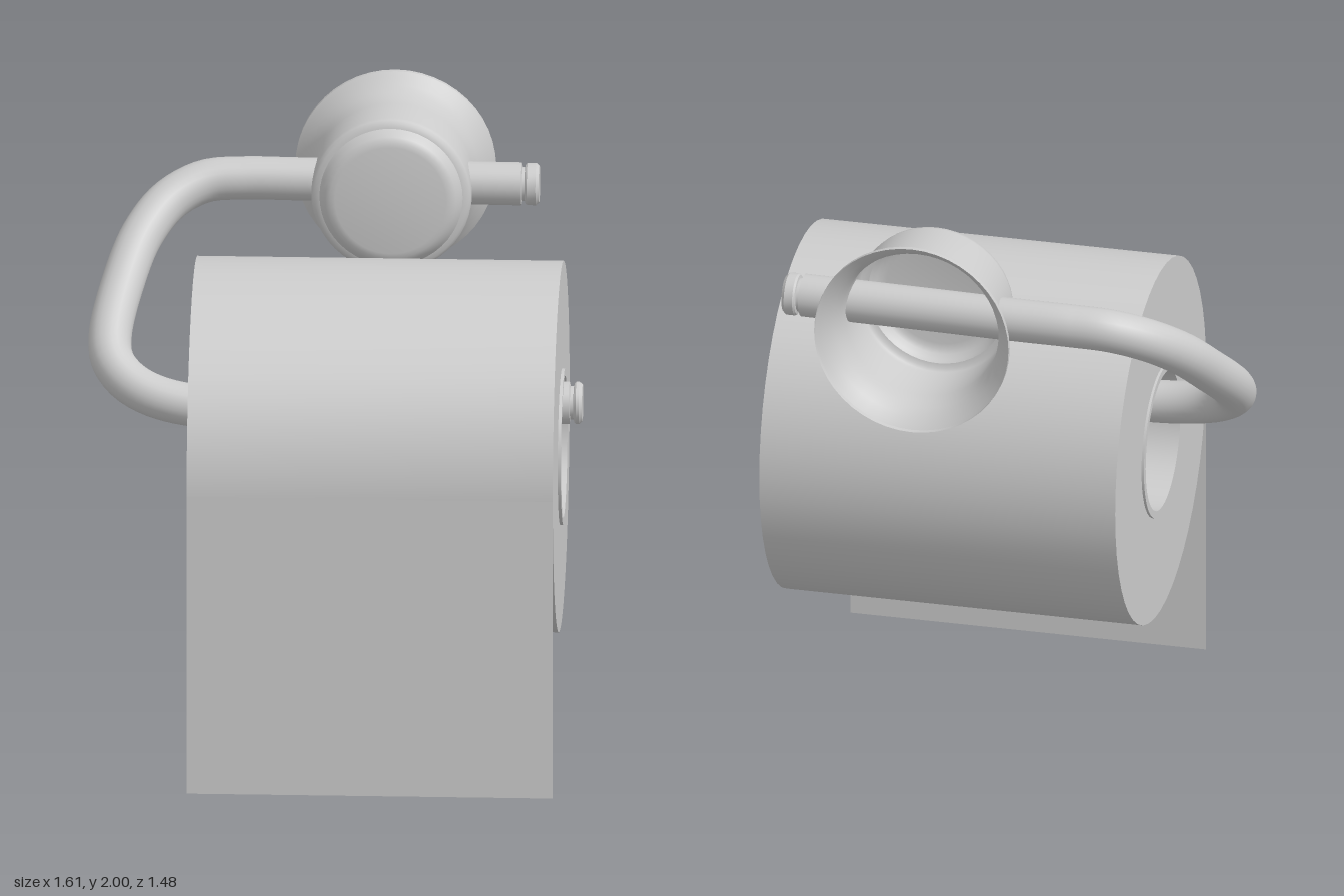
import * as THREE from 'three';
import { toCreasedNormals } from 'three/addons/utils/BufferGeometryUtils.js';

const material = new THREE.MeshStandardMaterial({ color: 0xcccccc });
const thin = new THREE.MeshStandardMaterial({ color: 0xcccccc, side: THREE.DoubleSide });

// Turned part from [radius, height] pairs, with crisp edges
function turned(name, profile, segments, mat = material, crease = 0.5) {
  const points = profile.map(([r, h]) => new THREE.Vector2(r, h));
  const mesh = new THREE.Mesh(toCreasedNormals(new THREE.LatheGeometry(points, segments), crease), mat);
  mesh.name = name;
  return mesh;
}

// Hollow cylinder lying along x
function sleeve(name, inner, outer, x0, x1) {
  const mesh = turned(name, [[inner, x0], [outer, x0], [outer, x1], [inner, x1], [inner, x0]], 48);
  mesh.rotation.z = -Math.PI / 2;
  mesh.position.set(0, 1.0075, 0.1375);
  return mesh;
}

// Grooved end knob pointing along +x
function knob(name, x, y, z, length) {
  const mesh = turned(name, [
    [0.068, -0.01], [0.068, 0], [0.055, 0.003], [0.055, 0.014], [0.064, 0.016],
    [0.069, 0.022], [0.069, length - 0.01], [0.06, length], [0, length],
  ], 28);
  mesh.rotation.z = -Math.PI / 2;
  mesh.position.set(x, y, z);
  return mesh;
}

export function createModel() {
  const model = new THREE.Group();

  // Paper roll, cardboard core and hanging sheet
  model.add(sleeve('paperRoll', 0.253, 0.603, -0.452, 0.738));
  model.add(sleeve('cardboardCore', 0.23, 0.254, -0.46, 0.748));
  const sheet = new THREE.Mesh(new THREE.PlaneGeometry(1.19, 1.0075), thin);
  sheet.name = 'hangingSheet';
  sheet.position.set(0.143, 0.50375, 0.7405);
  model.add(sheet);

  // Wall mount: flared cup, open at the back
  const mount = turned('wallMount', [
    [0.325, -0.743], [0.325, -0.725], [0.314, -0.715], [0.29, -0.69], [0.273, -0.662],
    [0.264, -0.63], [0.26, -0.59], [0.26, -0.425], [0.257, -0.408], [0.248, -0.399],
    [0.232, -0.395], [0.224, -0.383], [0.212, -0.366], [0.197, -0.357], [0.18, -0.354], [0, -0.354],
  ], 48, thin, 0.7);
  mount.rotation.x = Math.PI / 2;
  mount.position.set(0.16, 1.68, 0);
  model.add(mount);

  // Bent rod running through the mount, round the bend and through the roll
  const path = new THREE.CatmullRomCurve3([
    [0.578, 1.695, -0.51], [0.15, 1.695, -0.522], [-0.15, 1.695, -0.532], [-0.33, 1.695, -0.534],
    [-0.45, 1.686, -0.522], [-0.56, 1.64, -0.465], [-0.645, 1.555, -0.356], [-0.7, 1.44, -0.213],
    [-0.735, 1.31, -0.04], [-0.725, 1.25, 0.035], [-0.68, 1.203, 0.088], [-0.6, 1.165, 0.13],
    [-0.46, 1.138, 0.158], [-0.2, 1.138, 0.155], [0.2, 1.145, 0.146], [0.765, 1.155, 0.132],
  ].map((p) => new THREE.Vector3(...p)));
  const rod = new THREE.Mesh(new THREE.TubeGeometry(path, 120, 0.07, 24), material);
  rod.name = 'bentRod';
  model.add(rod);
  model.add(knob('upperKnob', 0.578, 1.695, -0.51, 0.06));
  model.add(knob('lowerKnob', 0.765, 1.155, 0.132, 0.042));

  return model;
}
